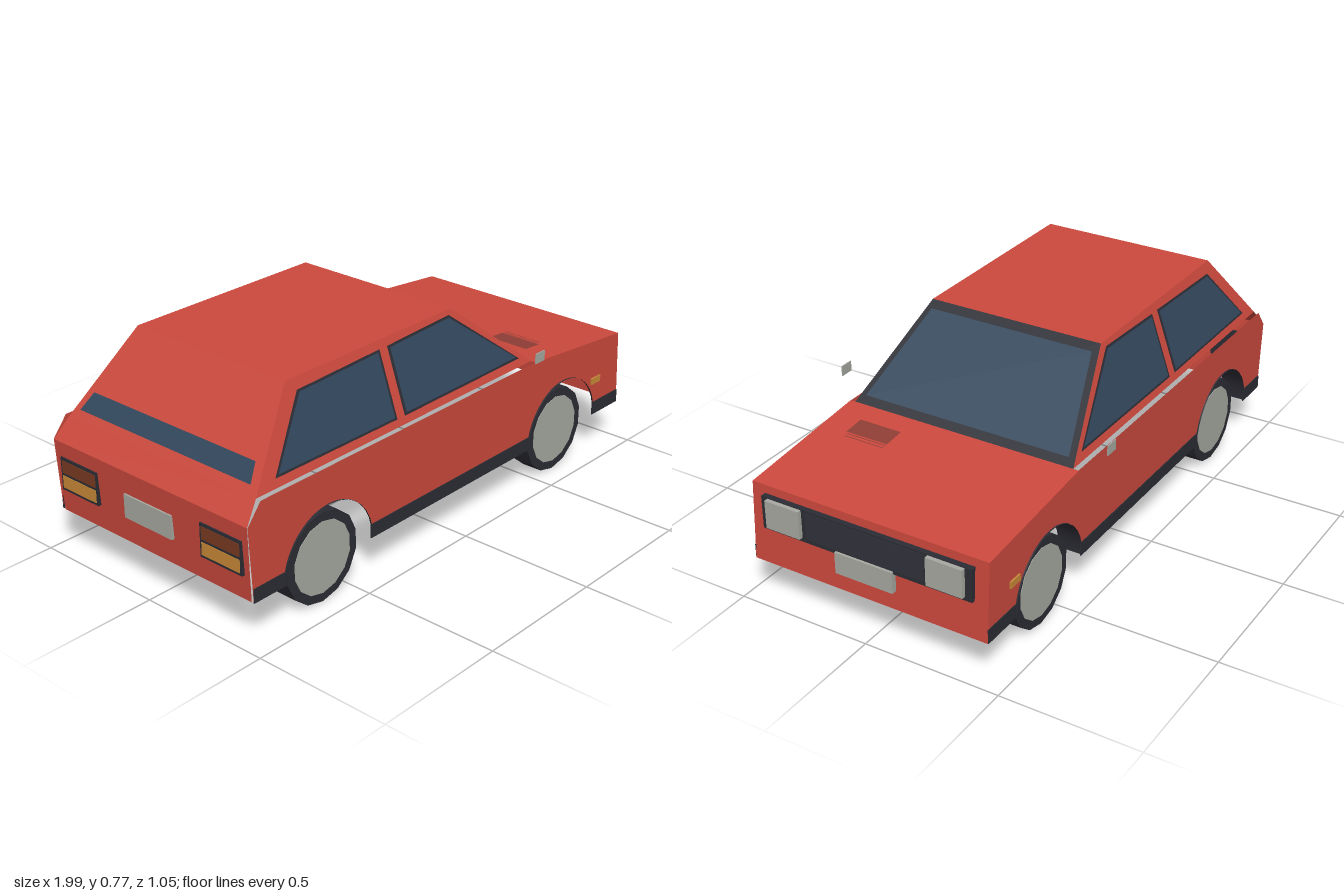
import * as THREE from 'three';

const mat = (name, color) => Object.assign(
  new THREE.MeshStandardMaterial({ color, side: THREE.DoubleSide }), { name });

export function createModel() {
  const car = new THREE.Group();
  car.name = 'hatchbackCar';
  const red = mat('body red', 0xcc493d);
  const black = mat('trim black', 0x2c2c35);
  const panelGrey = mat('grille grey', 0x32323b);
  const glass = mat('glass blue', 0x32475c);
  const silver = mat('light grey', 0xa7a9a1);
  const orange = mat('indicator orange', 0xc98a38);
  const ventRed = mat('vent dark red', 0x8f3e35);
  const lampBrown = mat('tail lamp brown', 0x7a3a22);

  const add = (name, geo, m) => {
    const mesh = new THREE.Mesh(geo, m);
    mesh.name = name;
    car.add(mesh);
    return mesh;
  };
  const box = (name, m, size, pos) => add(name, new THREE.BoxGeometry(...size), m).position.set(...pos);

  // Flat convex panel; with an offset it becomes a skin on both sides of its plane
  const panel = (name, m, pts, offset = 0) => {
    const v = pts.map(p => new THREE.Vector3(...p));
    const n = v[1].clone().sub(v[0]).cross(v[2].clone().sub(v[0])).normalize();
    for (const s of offset ? [1, -1] : [1]) {
      const tri = [];
      for (let i = 1; i < v.length - 1; i++) {
        for (const p of s > 0 ? [v[0], v[i], v[i + 1]] : [v[0], v[i + 1], v[i]]) {
          tri.push(...p.clone().addScaledVector(n, offset * s).toArray());
        }
      }
      const geo = new THREE.BufferGeometry();
      geo.setAttribute('position', new THREE.Float32BufferAttribute(tri, 3));
      geo.computeVertexNormals();
      add(name, geo, m);
    }
  };
  // Panel running across the car between two (x, y, half width) edges
  const cross = (name, m, [x0, y0, w0], [x1, y1, w1], offset) =>
    panel(name, m, [[x0, y0, w0], [x0, y0, -w0], [x1, y1, -w1], [x1, y1, w1]], offset);

  // Front, top and rear panels
  cross('frontPanel', red, [0.976, 0.16, 0.45], [0.96, 0.445, 0.45]);
  cross('hood', red, [0.96, 0.445, 0.45], [0.435, 0.495, 0.45]);
  cross('windscreenFrame', black, [0.435, 0.495, 0.43], [0.095, 0.77, 0.333]);
  cross('windscreen', glass, [0.41, 0.515, 0.4], [0.124, 0.747, 0.317], 0.004);
  cross('roof', red, [0.095, 0.77, 0.333], [-0.7, 0.77, 0.333]);
  cross('hatch', red, [-0.7, 0.77, 0.333], [-0.93, 0.495, 0.43]);
  cross('rearWindow', glass, [-0.865, 0.573, 0.37], [-0.91, 0.519, 0.392], 0.005);
  cross('rearLip', red, [-0.93, 0.495, 0.43], [-0.987, 0.425, 0.447]);
  cross('rearPanel', red, [-0.987, 0.425, 0.447], [-0.97, 0.16, 0.44]);

  // Side outline with two wheel arches cut into the lower edge
  const wheelX = [-0.635, 0.614], arch = 0.205;
  const side = new THREE.Shape();
  side.moveTo(-0.97, 0.16);
  for (const x of wheelX) {
    side.lineTo(x - arch, 0.16);
    side.absarc(x, 0.162, arch, Math.PI, 0, true);
    side.lineTo(x + arch, 0.16);
  }
  [[0.976, 0.16], [0.96, 0.445], [0.435, 0.495], [-0.93, 0.495], [-0.987, 0.425]]
    .forEach(p => side.lineTo(...p));
  const sideGeo = new THREE.ShapeGeometry(side, 16);

  const cabinZ = y => 0.43 - (y - 0.495) / 0.275 * 0.097;
  const windows = [
    [[-0.84, 0.523], [-0.665, 0.733], [-0.28, 0.743], [-0.28, 0.52]],
    [[-0.243, 0.52], [-0.243, 0.743], [0.075, 0.753], [0.372, 0.523]],
  ];
  const sills = [[-0.97, -0.834], [-0.436, 0.415], [0.813, 0.974]];

  for (const s of [1, -1]) {
    const onCabin = pts => pts.map(([x, y]) => [x, y, s * cabinZ(y)]);
    add('bodySide', sideGeo, red).position.z = s * 0.449;
    panel('cabinSide', red, onCabin([[-0.93, 0.495], [0.435, 0.495], [0.095, 0.77], [-0.7, 0.77]]));

    // Side windows: black surround, glass inset
    for (const w of windows) {
      panel('windowFrame', black, onCabin(w), 0.003);
      const cx = w.reduce((a, p) => a + p[0], 0) / 4, cy = w.reduce((a, p) => a + p[1], 0) / 4;
      panel('sideWindow', glass,
        onCabin(w.map(([x, y]) => [cx + (x - cx) * 0.955, cy + (y - cy) * 0.93])), 0.005);
    }

    // Sill strips, side markers and mirrors
    for (const [a, b] of sills) box('sill', black, [b - a, 0.05, 0.004], [(a + b) / 2, 0.185, s * 0.45]);
    box('sideMarker', orange, [0.055, 0.024, 0.008], [0.822, 0.3, s * 0.451]);
    box('mirror', silver, [0.05, 0.037, 0.004], [0.356, 0.563, s * 0.523]);

    // Wheels and arch liners
    for (const x of wheelX) {
      const wheel = new THREE.Group();
      wheel.name = 'wheel';
      const disc = (name, r, width, m) => {
        const d = new THREE.Mesh(new THREE.CylinderGeometry(r, r, width, 14).toNonIndexed(), m);
        d.geometry.computeVertexNormals();
        d.name = name;
        d.rotation.x = Math.PI / 2;
        wheel.add(d);
      };
      disc('tyre', 0.162, 0.08, black);
      disc('rim', 0.13, 0.084, silver);
      wheel.position.set(x, 0.163, s * 0.38);
      car.add(wheel);

      const depth = s > 0 ? 0.006 : 0.09;
      const liner = add('archLiner', new THREE.CylinderGeometry(
        arch, arch, depth, 16, 1, true, Math.PI / 2, Math.PI), black);
      liner.rotation.x = Math.PI / 2;
      liner.position.set(x, 0.162, s * (0.454 - depth / 2));
    }

    // Headlights and tail lights
    box('headlight', silver, [0.025, 0.102, 0.134], [0.985, 0.362, s * 0.308]);
    box('tailLightHousing', black, [0.014, 0.12, 0.18], [-0.981, 0.31, s * 0.33]);
    box('tailLightUpper', lampBrown, [0.016, 0.045, 0.165], [-0.982, 0.337, s * 0.33]);
    box('tailLightLower', orange, [0.016, 0.045, 0.165], [-0.982, 0.282, s * 0.33]);
  }

  // Grille and number plates
  box('grille', black, [0.02, 0.12, 0.8], [0.972, 0.356, 0]);
  box('grillePanel', panelGrey, [0.022, 0.098, 0.45], [0.973, 0.36, 0]);
  box('frontPlate', silver, [0.02, 0.078, 0.22], [0.981, 0.267, 0]);
  box('rearPlate', silver, [0.014, 0.085, 0.22], [-0.981, 0.3, 0]);

  // Hood vent plate with two ribs
  const hoodY = x => 0.495 - (x - 0.435) * 0.0952;
  const strip = (name, m, x0, x1, z0, z1, lift) => panel(name, m,
    [[x0, hoodY(x0) + lift, z1], [x1, hoodY(x1) + lift, z1], [x1, hoodY(x1) + lift, z0], [x0, hoodY(x0) + lift, z0]]);
  strip('hoodVent', ventRed, 0.52, 0.6, 0.18, 0.345, 0.003);
  for (const x of [0.606, 0.62]) strip('ventRib', ventRed, x, x + 0.004, 0.18, 0.335, 0.003);

  return car;
}
